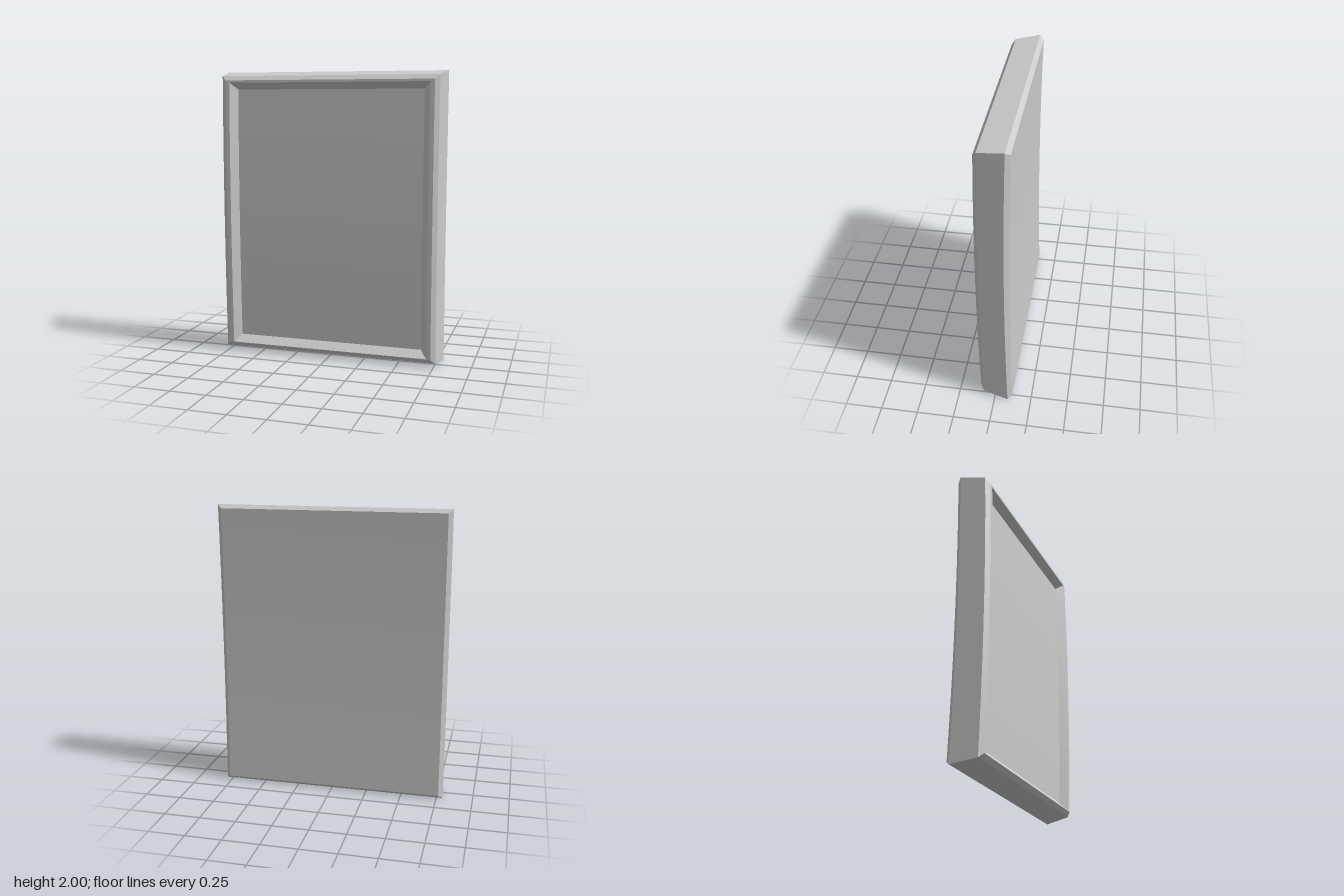
import * as THREE from 'three';
import { toCreasedNormals } from 'three/addons/utils/BufferGeometryUtils.js';

const ROWS = 12; // divisions up the height, so the bow reads as a gentle curve

// Rectangular loops from the back edge, round the outside, over the rim and down to the panel:
// half width, bottom, top, depth
const LOOPS = [
  [0.765, 0.025, 1.975, -0.1],
  [0.795, 0, 2, -0.07],
  [0.765, 0.03, 1.97, 0.098],
  [0.735, 0.06, 1.94, 0.122],
  [0.705, 0.064, 1.924, 0.122],
  [0.66, 0.112, 1.878, 0.07],
];

// The whole slab bows slightly forward around the middle
const bow = (y) => -0.0155 * (y - 1.15) ** 2;

function side([half, bottom, top, z], sign) {
  return Array.from({ length: ROWS + 1 }, (_, i) => {
    const y = bottom + ((top - bottom) * i) / ROWS;
    return [sign * half, y, z + bow(y)];
  });
}

// Quads between two equal rows of points
function strip(a, b, out) {
  for (let i = 0; i < a.length - 1; i++) {
    out.push(...a[i], ...a[i + 1], ...b[i + 1], ...a[i], ...b[i + 1], ...b[i]);
  }
}

function makeMesh(name, positions) {
  const geometry = new THREE.BufferGeometry();
  geometry.setAttribute('position', new THREE.Float32BufferAttribute(positions, 3));
  const mesh = new THREE.Mesh(
    toCreasedNormals(geometry, 0.2),
    new THREE.MeshStandardMaterial({ color: 0xcccccc })
  );
  mesh.name = name;
  return mesh;
}

export function createModel() {
  const group = new THREE.Group();
  group.name = 'framedPanel';

  // Bevelled frame: each loop runs up the right edge and down the left, then closes
  const loops = LOOPS.map((l) => {
    const up = side(l, 1);
    return [...up, ...side(l, -1).reverse(), up[0]];
  });
  const frame = [];
  for (let i = 0; i < loops.length - 1; i++) strip(loops[i], loops[i + 1], frame);
  group.add(makeMesh('frame', frame));

  // Recessed front panel
  const front = [];
  const inner = LOOPS[LOOPS.length - 1];
  strip(side(inner, 1), side(inner, -1), front);
  group.add(makeMesh('frontPanel', front));

  // Closed back
  const back = [];
  strip(side(LOOPS[0], -1), side(LOOPS[0], 1), back);
  group.add(makeMesh('backPanel', back));

  return group;
}
